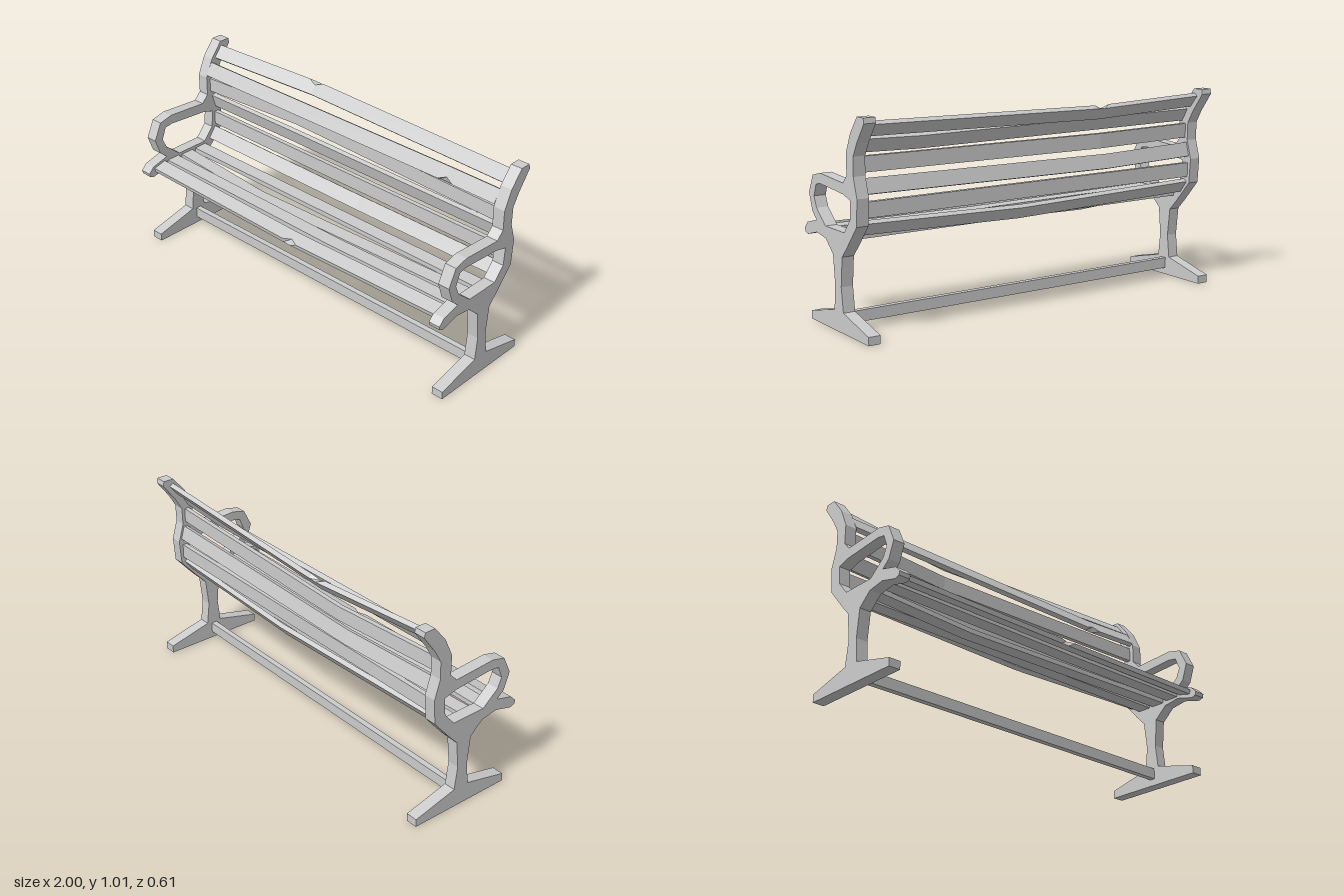
import * as THREE from 'three';

const material = new THREE.MeshStandardMaterial({ color: 0xcccccc, flatShading: true });

// Side frame outline and armrest opening as [z, y]
const OUTLINE = [
  [0.257, 0], [0.257, 0.04], [0.025, 0.097], [0.013, 0.213], [0.027, 0.355], [0.095, 0.416],
  [0.182, 0.43], [0.275, 0.405], [0.3, 0.413], [0.305, 0.432], [0.275, 0.463], [0.182, 0.488],
  [0.222, 0.522], [0.252, 0.607], [0.21, 0.695], [0.137, 0.713], [-0.083, 0.699], [-0.12, 0.738],
  [-0.12, 0.838], [-0.162, 0.93], [-0.227, 1.01], [-0.283, 1.01], [-0.288, 0.985], [-0.222, 0.895],
  [-0.185, 0.83], [-0.183, 0.74], [-0.212, 0.645], [-0.203, 0.518], [-0.11, 0.41], [-0.06, 0.357],
  [-0.045, 0.215], [-0.06, 0.097], [-0.292, 0.04], [-0.292, 0],
];
const OPENING = [
  [0.095, 0.474], [-0.085, 0.474], [-0.142, 0.54], [-0.15, 0.63], [-0.083, 0.648],
  [0.133, 0.664], [0.178, 0.657], [0.202, 0.597], [0.18, 0.545],
];

const FRAME = 0.06;        // frame thickness along x
const HALF = 1 - FRAME;    // half length between the frames
const points = (list) => list.map(([z, y]) => new THREE.Vector2(z, y));

function makeFrame(name, outerX) {
  const shape = new THREE.Shape(points(OUTLINE));
  shape.holes.push(new THREE.Path(points(OPENING)));
  const geometry = new THREE.ExtrudeGeometry(shape, { depth: FRAME, bevelEnabled: false });
  geometry.rotateY(-Math.PI / 2).translate(outerX, 0, 0);
  const mesh = new THREE.Mesh(geometry, material);
  mesh.name = name;
  return mesh;
}

// Plank tilted about x, warped by (dz, dy) at x = kink, with an optional chip in one front edge
function makeSlat({ name, z, y, tilt = 0, width = 0.073, kink = 0, dz = 0, dy = 0, chipEdge = 0 }) {
  const geometry = new THREE.BoxGeometry(4, width, 0.024, 4, 1, 1);
  const stations = [-HALF, kink - 0.045, kink, kink + 0.045, HALF];
  const p = geometry.attributes.position;
  for (let i = 0; i < p.count; i++) {
    const station = Math.round(p.getX(i) + 2);
    const x = stations[station];
    let v = p.getY(i);
    const t = p.getZ(i);
    if (station === 2 && t > 0 && v * chipEdge > 0) v -= chipEdge * 0.022;
    const warp = x < kink ? (x + HALF) / (kink + HALF) : (HALF - x) / (HALF - kink);
    p.setXYZ(i, x,
      y + v * Math.cos(tilt) - t * Math.sin(tilt) + dy * warp,
      z + v * Math.sin(tilt) + t * Math.cos(tilt) + dz * warp);
  }
  geometry.computeVertexNormals();
  const mesh = new THREE.Mesh(geometry, material);
  mesh.name = name;
  return mesh;
}

const FLAT = -Math.PI / 2;
const SLATS = [
  // Backrest, top to bottom
  { name: 'backSlat1', z: -0.217, y: 0.952, tilt: -0.68, kink: -0.3, dz: -0.054, dy: -0.012, chipEdge: 1 },
  { name: 'backSlat2', z: -0.15, y: 0.875, tilt: -0.52, kink: 0.65, dz: -0.012, dy: -0.006, chipEdge: -1 },
  { name: 'backSlat3', z: -0.155, y: 0.788, kink: -0.35, dz: -0.043 },
  { name: 'backSlat4', z: -0.175, y: 0.69, tilt: 0.28, kink: -0.4, dz: -0.018, dy: -0.01 },
  { name: 'backSlat5', z: -0.178, y: 0.586 },
  { name: 'backSlat6', z: -0.152, y: 0.5, tilt: -0.64, kink: 0.1, dz: -0.016, dy: -0.017 },
  // Seat, back to front
  { name: 'seatSlat1', z: -0.052, y: 0.447, tilt: FLAT },
  { name: 'seatSlat2', z: 0.042, y: 0.447, tilt: FLAT, kink: -0.4, dz: 0.01, dy: -0.032 },
  { name: 'seatSlat3', z: 0.14, y: 0.452, tilt: FLAT, kink: 0.2, dz: 0.005, dy: -0.008 },
  { name: 'seatSlat4', z: 0.23, y: 0.449, tilt: FLAT - 0.24 + 0.48, kink: 0.05, dz: 0.01, dy: -0.01, chipEdge: -1 },
];

export function createModel() {
  const bench = new THREE.Group();
  bench.name = 'bench';
  bench.add(makeFrame('leftFrame', 1), makeFrame('rightFrame', -HALF));

  for (const slat of SLATS) {
    // Seat slats are turned so that their lower local edge faces forward
    bench.add(makeSlat(slat));
  }

  // Low bar joining the two feet
  const stretcher = new THREE.Mesh(new THREE.BoxGeometry(2 * HALF, 0.055, 0.03), material);
  stretcher.name = 'stretcher';
  stretcher.position.set(0, 0.062, -0.017);
  bench.add(stretcher);
  return bench;
}
